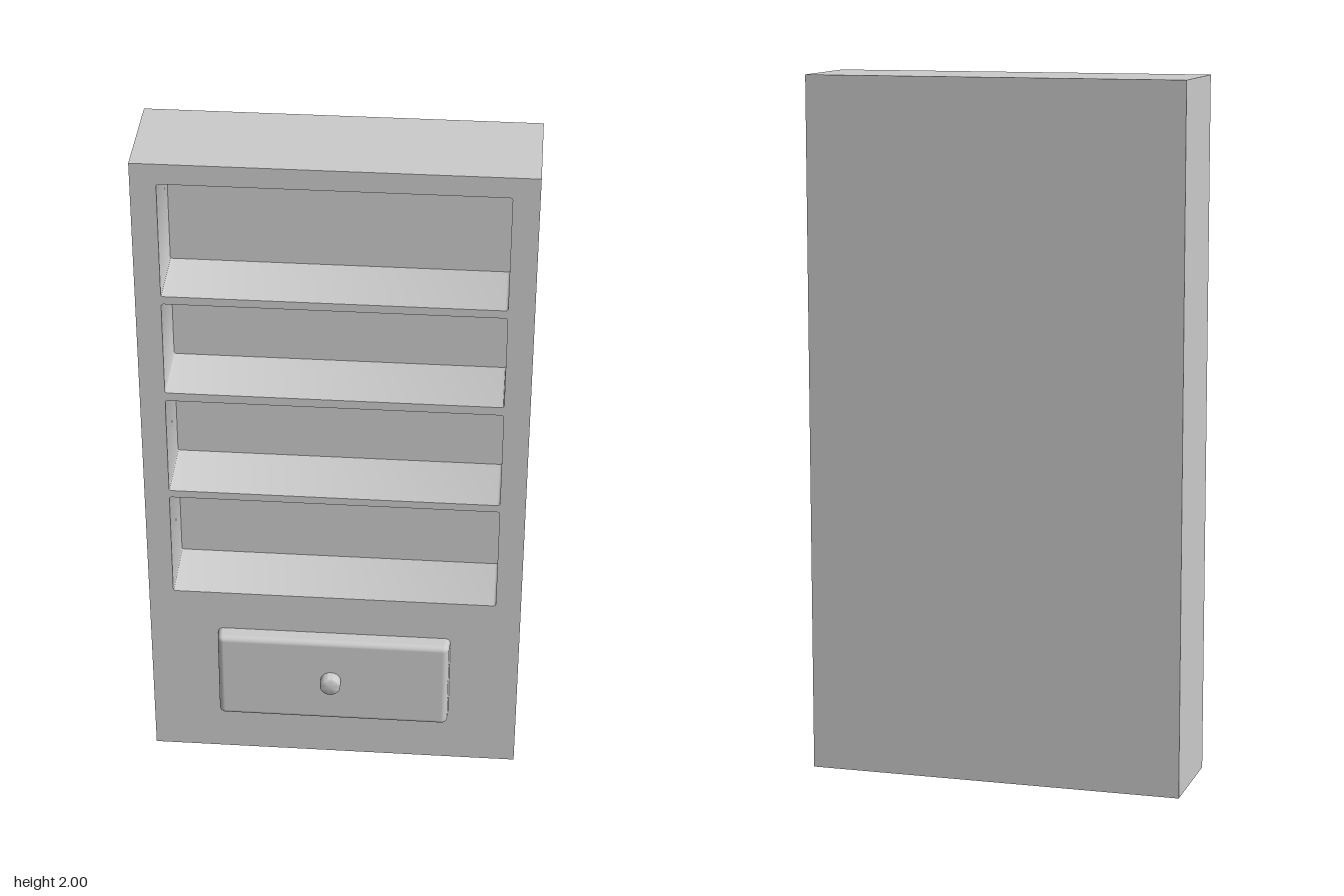
import * as THREE from 'three';
import { RoundedBoxGeometry } from 'three/addons/geometries/RoundedBoxGeometry.js';
import { toCreasedNormals } from 'three/addons/utils/BufferGeometryUtils.js';

const W = 1.086, H = 2;                         // cabinet width and height
const BACK = -0.194, RECESS = -0.09, FRONT = 0.113; // depth planes

// Rounded rectangle traced into a Shape or Path
function roundedRect(path, x0, y0, x1, y1, r) {
  path.moveTo(x0 + r, y0);
  path.lineTo(x1 - r, y0);
  path.absarc(x1 - r, y0 + r, r, -Math.PI / 2, 0);
  path.lineTo(x1, y1 - r);
  path.absarc(x1 - r, y1 - r, r, 0, Math.PI / 2);
  path.lineTo(x0 + r, y1);
  path.absarc(x0 + r, y1 - r, r, Math.PI / 2, Math.PI);
  path.lineTo(x0, y0 + r);
  path.absarc(x0 + r, y0 + r, r, Math.PI, Math.PI * 1.5);
  return path;
}

export function createModel() {
  const group = new THREE.Group();
  group.name = 'bookcase';
  const material = new THREE.MeshStandardMaterial({ color: 0xcccccc });

  function add(name, geometry, x, y, z) {
    const mesh = new THREE.Mesh(geometry, material);
    mesh.name = name;
    mesh.position.set(x, y, z);
    group.add(mesh);
    return mesh;
  }

  // Shelf frame: outline with four openings
  const outline = new THREE.Shape();
  outline.moveTo(-W / 2, 0);
  outline.lineTo(W / 2, 0);
  outline.lineTo(W / 2, H);
  outline.lineTo(-W / 2, H);
  outline.closePath();
  const openings = [[0.584, 0.921], [0.944, 1.252], [1.278, 1.568], [1.592, 1.94]];
  for (const [bottom, top] of openings) {
    outline.holes.push(roundedRect(new THREE.Path(), -0.472, bottom, 0.47, top, 0.007));
  }
  const frame = new THREE.ExtrudeGeometry(outline, {
    depth: FRONT - RECESS, bevelEnabled: false, curveSegments: 4,
  });
  add('shelfFrame', toCreasedNormals(frame, 0.6), 0, 0, RECESS);

  // Solid back behind the shelves
  add('backPanel', new THREE.BoxGeometry(W, H, RECESS - BACK), 0, H / 2, (BACK + RECESS) / 2);

  // Drawer front: rounded slab, sides drawn in slightly towards the front
  const depth = 0.1, face = 0.161;
  const drawer = new RoundedBoxGeometry(0.69, 0.29, depth, 4, 0.016);
  const p = drawer.attributes.position;
  for (let i = 0; i < p.count; i++) {
    const t = Math.max(0, p.getZ(i) / (depth / 2));
    p.setX(i, p.getX(i) * (1 - 0.02 * t));
  }
  add('drawerFront', drawer, -0.001, 0.309, face - depth / 2);

  // Round knob with a softened rim
  const profile = [[0.03, -0.01], [0.03, 0.03], [0.0285, 0.0325], [0.026, 0.034], [0, 0.034]]
    .map(([r, y]) => new THREE.Vector2(r, y));
  const knob = toCreasedNormals(new THREE.LatheGeometry(profile, 32), 0.7);
  add('drawerKnob', knob, -0.007, 0.313, face - 0.001).rotation.x = Math.PI / 2;

  return group;
}
